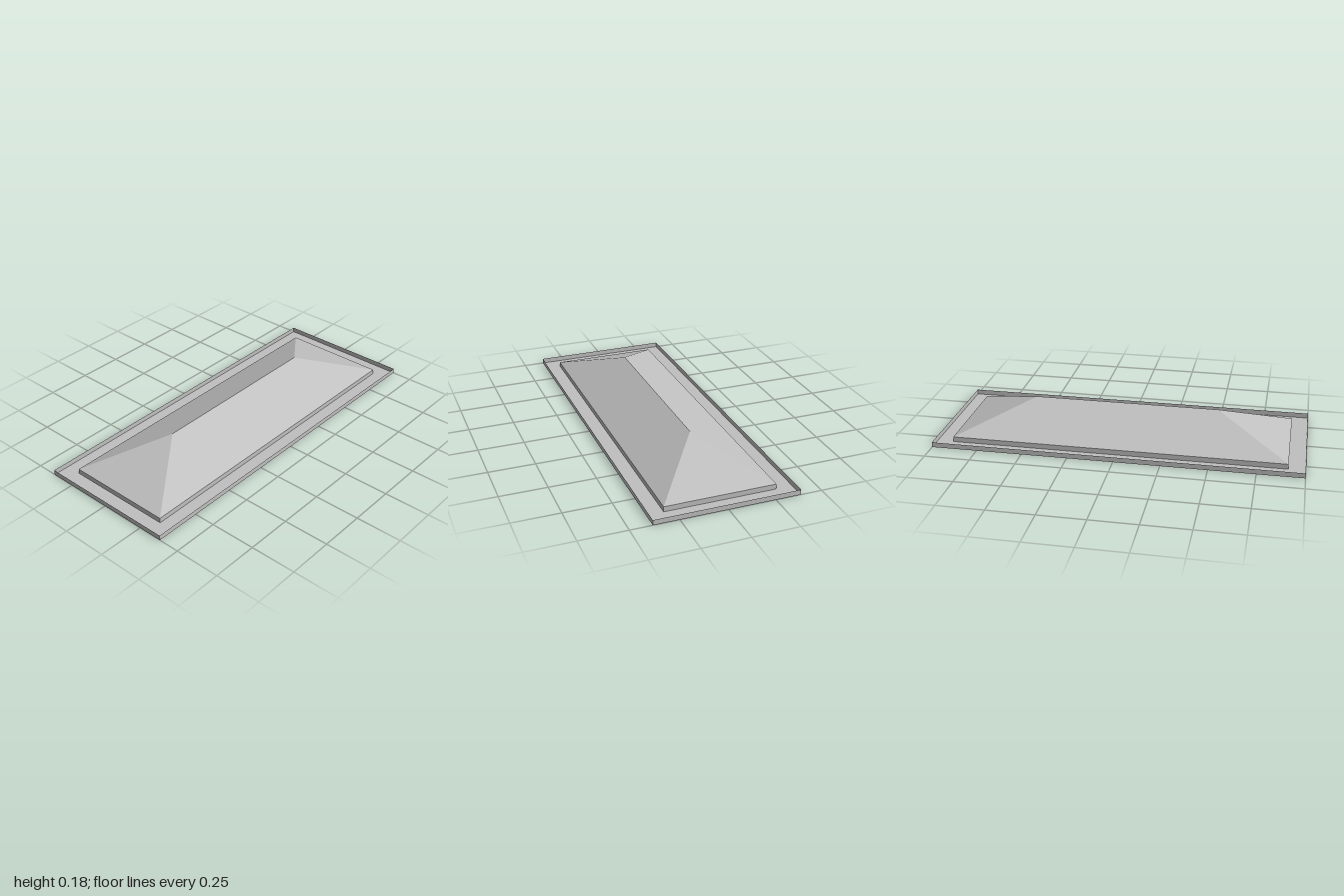
import * as THREE from 'three';

const RIM = 0.028;   // height of both upright rims
const RIDGE = 0.178; // height of the roof ridge
const OUTER = [1, 0.385];
const INNER = [0.91, 0.297];

// Rectangular loop of corners, anticlockwise seen from above
const loop = ([x, z], y) => [[-x, y, z], [x, y, z], [x, y, -z], [-x, y, -z]];

// Band of four flat faces joining a lower loop to an upper loop
function band(name, lower, upper, material) {
  const points = [];
  for (let i = 0; i < 4; i++) {
    const j = (i + 1) % 4;
    points.push(lower[i], lower[j], upper[j], lower[i], upper[j], upper[i]);
  }
  const geometry = new THREE.BufferGeometry();
  geometry.setAttribute('position', new THREE.Float32BufferAttribute(points.flat(), 3));
  geometry.computeVertexNormals();
  const mesh = new THREE.Mesh(geometry, material);
  mesh.name = name;
  return mesh;
}

export function createModel() {
  const group = new THREE.Group();
  group.name = 'hippedRoof';
  const grey = new THREE.MeshStandardMaterial({ color: 0xc0c0c0, side: THREE.DoubleSide });
  grey.name = 'light grey';

  // Thin outer rim standing around a flat gutter
  group.add(band('outerRim', loop(OUTER, 0), loop(OUTER, RIM), grey));
  group.add(band('gutterFloor', loop(OUTER, 0), loop(INNER, 0), grey));

  // Inner rim carrying the hollow roof, open underneath
  group.add(band('innerRim', loop(INNER, 0), loop(INNER, RIM), grey));

  // Four slopes meeting in a ridge: the upper loop has no depth
  group.add(band('roofSlopes', loop(INNER, RIM), loop([0.51, 0], RIDGE), grey));

  return group;
}
